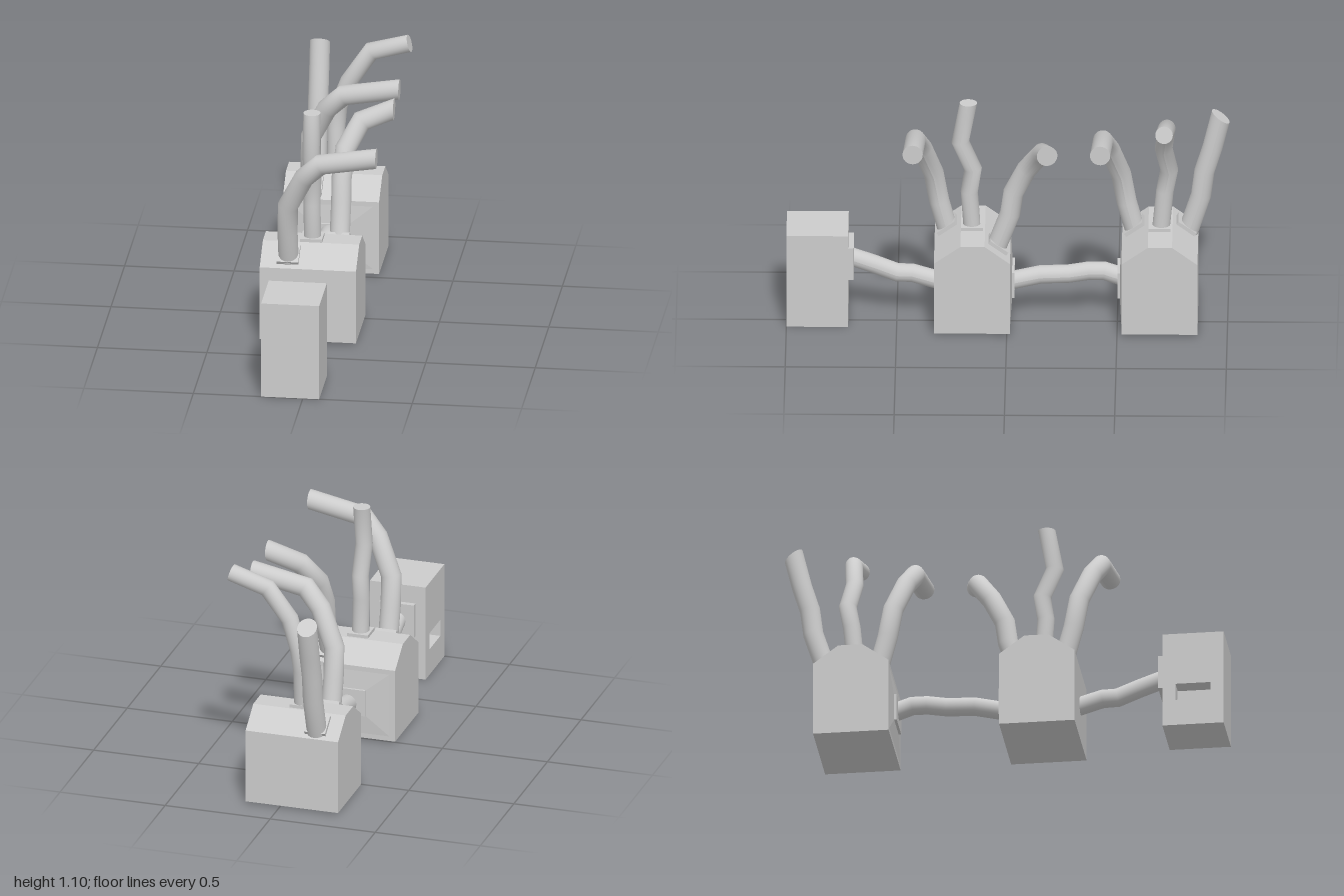
import * as THREE from 'three';

const material = new THREE.MeshStandardMaterial({ color: 0xcccccc });
const CX = -0.06; // centre line of the boxes

function add(parent, name, geometry, x = 0, y = 0, z = 0) {
  const mesh = new THREE.Mesh(geometry, material);
  mesh.name = name;
  mesh.position.set(x, y, z);
  parent.add(mesh);
  return mesh;
}

// Extrude a (z, y) outline along -x
function sideExtrude(outline, depth, hole) {
  const toPoints = (list) => list.map(([z, y]) => new THREE.Vector2(z, y));
  const shape = new THREE.Shape(toPoints(outline));
  if (hole) shape.holes.push(new THREE.Path(toPoints(hole)));
  return new THREE.ExtrudeGeometry(shape, { depth, bevelEnabled: false }).rotateY(-Math.PI / 2);
}

// Round pipe along straight runs, with mitred elbows and a flat cap at the end
function pipeGeometry(path, radius, endNormal) {
  const sides = 24;
  const pts = path.map((p) => new THREE.Vector3(...p));
  const dirs = pts.slice(1).map((p, i) => p.clone().sub(pts[i]).normalize());
  const u = new THREE.Vector3(1, 0, 0).addScaledVector(dirs[0], -dirs[0].x).normalize();
  const v = dirs[0].clone().cross(u);
  let ring = [];
  for (let j = 0; j <= sides; j++) {
    const a = ((j % sides) / sides) * Math.PI * 2;
    ring.push(pts[0].clone().addScaledVector(u, Math.cos(a) * radius).addScaledVector(v, Math.sin(a) * radius));
  }
  const pos = [];
  const index = [];
  const push = (list) => list.forEach((p) => pos.push(p.x, p.y, p.z));
  push(ring);
  const row = sides + 1;
  for (let i = 1; i < pts.length; i++) {
    const d = dirs[i - 1];
    const normal = i < dirs.length ? d.clone().add(dirs[i]).normalize()
      : endNormal ? new THREE.Vector3(...endNormal) : d;
    ring = ring.map((p) => p.clone().addScaledVector(d, pts[i].clone().sub(p).dot(normal) / d.dot(normal)));
    push(ring);
    for (let j = 0; j < sides; j++) {
      const a = (i - 1) * row + j;
      index.push(a, a + 1, a + row, a + 1, a + row + 1, a + row);
    }
  }
  const centre = pos.length / 3;
  push([pts[pts.length - 1], ...ring]);
  for (let j = 1; j <= sides; j++) index.push(centre, centre + j, centre + j + 1);
  const geometry = new THREE.BufferGeometry();
  geometry.setAttribute('position', new THREE.Float32BufferAttribute(pos, 3));
  geometry.setIndex(index);
  geometry.computeVertexNormals();
  return geometry;
}

// Shallow four-sided rise that meets a connector plate
function raisedPanel() {
  const geometry = new THREE.BoxGeometry(0.44, 0.35, 0.01);
  const p = geometry.attributes.position;
  for (let i = 0; i < p.count; i++) {
    if (p.getZ(i) > 0) p.setXY(i, p.getX(i) * 0.375, p.getY(i) * 0.36);
  }
  geometry.computeVertexNormals();
  return geometry;
}

// Box with a chamfered top, carrying three pipe flanges
function chamferedUnit(name, z, backX) {
  const unit = new THREE.Group();
  unit.name = name;
  unit.position.z = z;
  add(unit, 'chamferedBox', sideExtrude(
    [[0.33, 0.01], [0.33, 0.36], [0.21, 0.445], [0.10, 0.445], [-0.015, 0.36], [-0.015, 0.01]], 0.44), 0.16);
  const tilt = Math.atan2(0.12, 0.085);
  const flange = () => new THREE.BoxGeometry(0.1, 0.03, 0.1);
  add(unit, 'topFlange', flange(), CX, 0.445, 0.16);
  add(unit, 'frontFlange', flange(), -0.155, 0.405, 0.272).rotation.x = Math.PI / 2 - tilt;
  add(unit, 'backFlange', flange(), backX, 0.405, 0.042).rotation.x = tilt - Math.PI / 2;
  // Front pipe, leaning forward and then bending sideways
  add(unit, 'frontPipe', pipeGeometry([
    [-0.155, 0.38, 0.27], [-0.155, 0.53, 0.31], [-0.15, 0.67, 0.335],
    [-0.07, 0.83, 0.385], [0.01, 0.91, 0.415], [0.265, 0.955, 0.425]], 0.046, [1, 0, 0]));
  return unit;
}

export function createModel() {
  const model = new THREE.Group();

  // Plain front box with a slot cut in one side
  const frontBox = new THREE.Group();
  frontBox.name = 'frontBox';
  model.add(frontBox);
  add(frontBox, 'boxBody', new THREE.BoxGeometry(0.185, 0.455, 0.28), -0.0175, 0.2275, 0.86);
  add(frontBox, 'slottedSide', sideExtrude(
    [[0.72, 0], [1, 0], [1, 0.455], [0.72, 0.455]], 0.08,
    [[0.78, 0.125], [0.94, 0.125], [0.94, 0.205], [0.78, 0.205]]), -0.11);
  add(frontBox, 'connectorPlate', new THREE.BoxGeometry(0.165, 0.16, 0.03), CX, 0.29, 0.71);

  // Two chamfered units
  const middle = chamferedUnit('middleUnit', 0, 0.05);
  const rear = chamferedUnit('rearUnit', -0.85, -0.165);
  model.add(middle, rear);

  // Facing connector panels and plates between the two units
  const plate = () => new THREE.BoxGeometry(0.165, 0.126, 0.02);
  add(middle, 'rearPanel', raisedPanel(), CX, 0.185, -0.018).rotation.y = Math.PI;
  add(middle, 'rearPlate', plate(), CX, 0.1875, -0.024);
  add(rear, 'frontPanel', raisedPanel(), CX, 0.185, 0.333);
  add(rear, 'frontPlate', plate(), CX, 0.1875, 0.34);

  // Upright pipes of the middle unit
  add(middle, 'topPipe', pipeGeometry([
    [CX, 0.42, 0.16], [CX, 0.48, 0.162], [CX, 0.62, 0.172], [CX, 0.735, 0.155],
    [CX, 0.87, 0.213], [CX, 1.064, 0.176]], 0.039, [0, 1, 0]));
  add(middle, 'backPipe', pipeGeometry([
    [0.05, 0.39, 0.05], [0.05, 0.565, -0.015], [0.05, 0.67, -0.03],
    [0.06, 0.79, -0.09], [0.125, 0.9, -0.16], [0.27, 0.955, -0.185]], 0.046, [1, 0, 0]));

  // Upright pipes of the rear unit
  add(rear, 'topPipe', pipeGeometry([
    [CX, 0.42, 0.155], [CX, 0.63, 0.135], [CX + 0.01, 0.74, 0.115],
    [0.0, 0.87, 0.14], [0.1, 1.015, 0.125], [0.275, 1.065, 0.135]], 0.04));
  add(rear, 'backPipe', pipeGeometry([
    [-0.165, 0.38, 0.03], [-0.165, 0.56, -0.028], [-0.165, 0.68, -0.043],
    [-0.165, 0.8, -0.08], [-0.165, 0.953, -0.117]], 0.046, [0, 0.81, -0.59]));

  // Horizontal pipes linking the three boxes
  const link = (name, path) => add(model, name, pipeGeometry(path.map(([z, y]) => [CX, y, z]), 0.042));
  link('frontLinkPipe', [[0.72, 0.295], [0.6, 0.252], [0.5, 0.212], [0.43, 0.21], [0.33, 0.18], [0.27, 0.165]]);
  link('rearLinkPipe', [[0, 0.175], [-0.04, 0.18], [-0.15, 0.205], [-0.28, 0.21],
    [-0.37, 0.225], [-0.44, 0.225], [-0.54, 0.19]]);

  return model;
}
